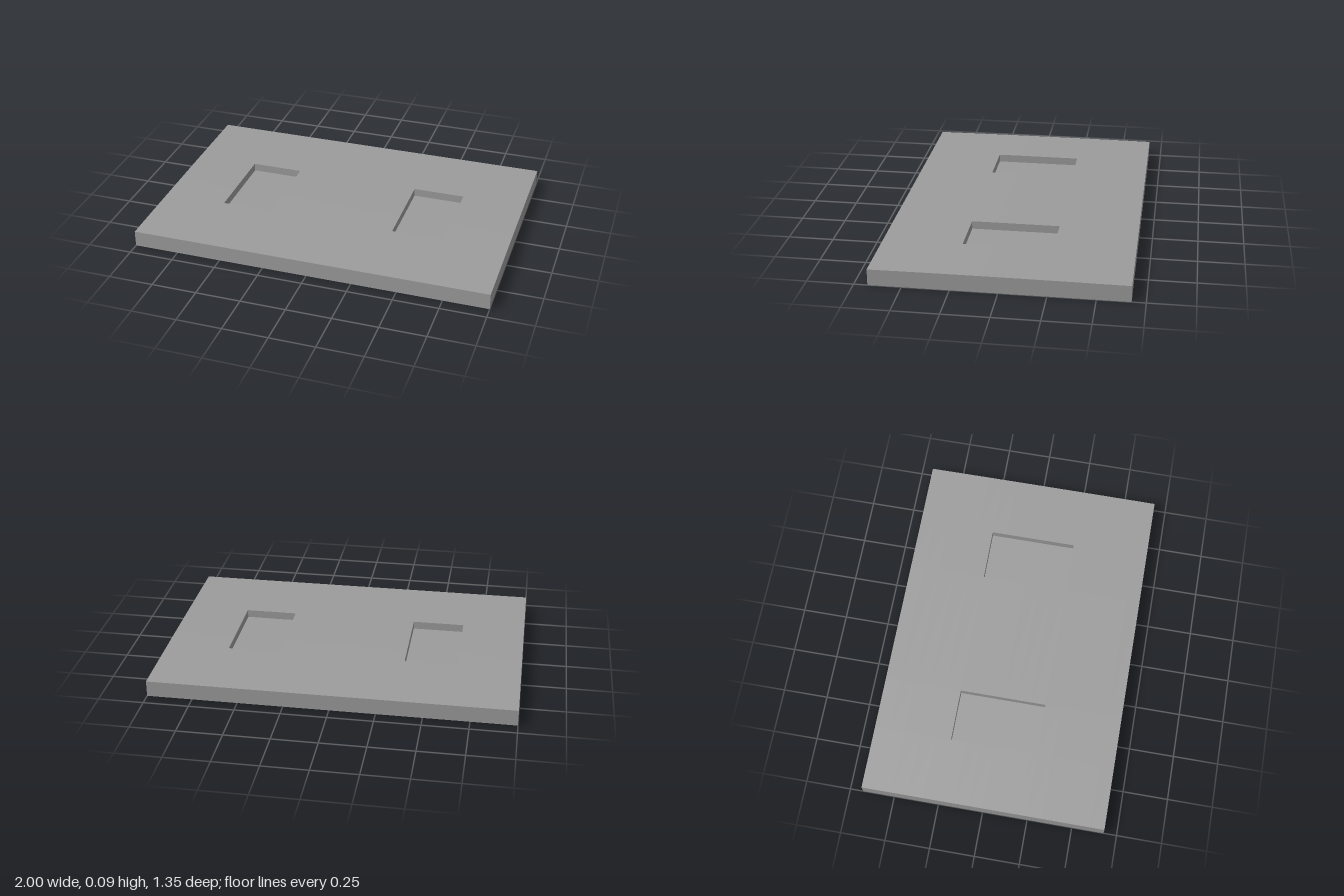
import * as THREE from 'three';
import { toCreasedNormals } from 'three/addons/utils/BufferGeometryUtils.js';

const HALF_DEPTH = 0.677, CROWN = 0.0922, EDGE = 0.0897, FLOOR = 0.047;
const POCKET_Z = 0.243;
const xs = [-1, -0.646, -0.355, 0.355, 0.646, 1];
const halfZ = [0.08, 0.16, POCKET_Z, 0.33, 0.42, 0.51, 0.6, HALF_DEPTH];
const zs = [...halfZ.map((z) => -z).reverse(), 0, ...halfZ];

// gently crowned top, highest along the middle
const topY = (z) => CROWN - (CROWN - EDGE) * (z / HALF_DEPTH) ** 2;

// collects quads, corners given counter-clockwise from outside
function quadSurface() {
  const points = [];
  return {
    quad: (a, b, c, d) => points.push(...a, ...b, ...c, ...a, ...c, ...d),
    mesh(name, material) {
      const geometry = new THREE.BufferGeometry();
      geometry.setAttribute('position', new THREE.Float32BufferAttribute(points, 3));
      const mesh = new THREE.Mesh(toCreasedNormals(geometry, Math.PI / 6), material);
      mesh.name = name;
      return mesh;
    },
  };
}

export function createModel() {
  const group = new THREE.Group();
  group.name = 'recessedPlate';
  const material = new THREE.MeshStandardMaterial({ color: 0x9c9c9c });

  // slab: crowned top with two openings, sides and underside
  const slab = quadSurface();
  for (let j = 0; j < zs.length - 1; j++) {
    const z0 = zs[j], z1 = zs[j + 1], y0 = topY(z0), y1 = topY(z1);
    for (let i = 0; i < xs.length - 1; i++) {
      const inPocket = i % 2 === 1 && Math.abs(z0 + z1) / 2 < POCKET_Z;
      if (inPocket) continue;
      slab.quad([xs[i], y0, z0], [xs[i], y1, z1], [xs[i + 1], y1, z1], [xs[i + 1], y0, z0]);
    }
    slab.quad([1, 0, z1], [1, 0, z0], [1, y0, z0], [1, y1, z1]);
    slab.quad([-1, 0, z0], [-1, 0, z1], [-1, y1, z1], [-1, y0, z0]);
  }
  const D = HALF_DEPTH;
  slab.quad([-1, 0, D], [1, 0, D], [1, EDGE, D], [-1, EDGE, D]);
  slab.quad([1, 0, -D], [-1, 0, -D], [-1, EDGE, -D], [1, EDGE, -D]);
  slab.quad([-1, 0, -D], [1, 0, -D], [1, 0, D], [-1, 0, D]);
  group.add(slab.mesh('slab', material));

  // rectangular pockets: flat floor and four upright walls
  for (const [name, x0, x1] of [['rightPocket', xs[1], xs[2]], ['leftPocket', xs[3], xs[4]]]) {
    const pocket = quadSurface();
    const P = POCKET_Z, F = FLOOR, T = topY(P);
    pocket.quad([x0, F, -P], [x0, F, P], [x1, F, P], [x1, F, -P]);
    pocket.quad([x0, F, -P], [x1, F, -P], [x1, T, -P], [x0, T, -P]);
    pocket.quad([x1, F, P], [x0, F, P], [x0, T, P], [x1, T, P]);
    const inner = zs.filter((z) => Math.abs(z) <= P);
    for (let j = 0; j < inner.length - 1; j++) {
      const z0 = inner[j], z1 = inner[j + 1], y0 = topY(z0), y1 = topY(z1);
      pocket.quad([x0, F, z1], [x0, F, z0], [x0, y0, z0], [x0, y1, z1]);
      pocket.quad([x1, F, z0], [x1, F, z1], [x1, y1, z1], [x1, y0, z0]);
    }
    group.add(pocket.mesh(name, material));
  }
  return group;
}
